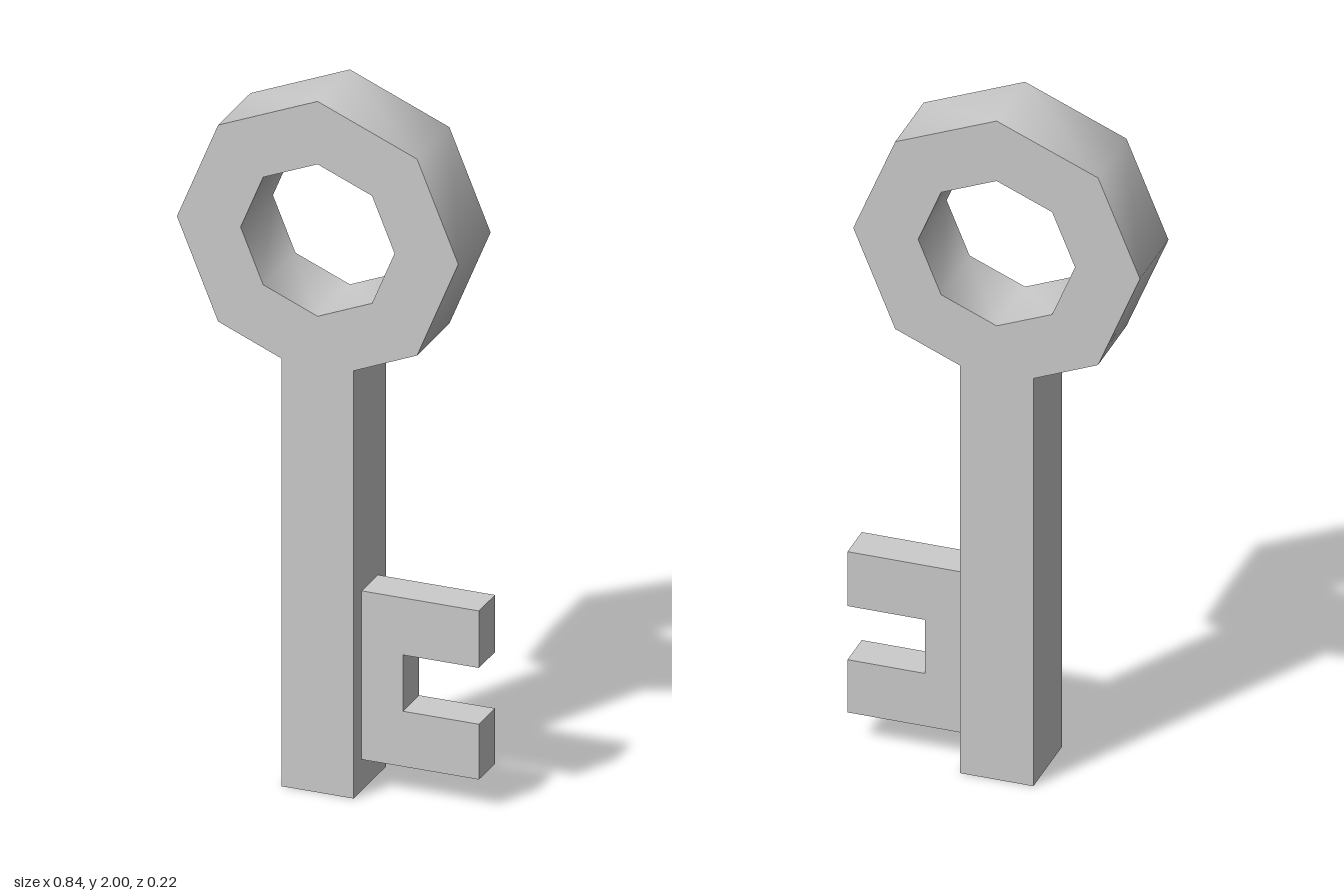
import * as THREE from 'three';
import { toCreasedNormals } from 'three/addons/utils/BufferGeometryUtils.js';

const AXIS = -0.018, RING_Y = 1.598, OUTER = 0.402, INNER = 0.22;
const SHANK_HALF = 0.103, SHANK_TOP = 1.238;

// Corners of an octagon, starting beside its lowest corner and ending on it
function octagon(radius) {
  return Array.from({ length: 8 }, (_, i) => {
    const a = -Math.PI / 2 + (i + 1) * Math.PI / 4;
    return new THREE.Vector2(AXIS + radius * Math.cos(a), RING_Y + radius * Math.sin(a));
  });
}

// Plate of the given thickness, centred on z = 0, with the ring walls kept smooth
function plate(name, shape, depth) {
  const geometry = new THREE.ExtrudeGeometry(shape, { depth, bevelEnabled: false });
  geometry.translate(0, 0, -depth / 2);
  const mesh = new THREE.Mesh(
    toCreasedNormals(geometry, Math.PI / 3),
    new THREE.MeshStandardMaterial({ color: 0xcccccc })
  );
  mesh.name = name;
  return mesh;
}

export function createModel() {
  const key = new THREE.Group();
  key.name = 'key';

  // Octagonal bow and shank in one outline; the shank replaces the lowest corner
  const left = AXIS - SHANK_HALF, right = AXIS + SHANK_HALF;
  const body = new THREE.Shape([
    ...octagon(OUTER).slice(0, 7),
    new THREE.Vector2(left, SHANK_TOP),
    new THREE.Vector2(left, 0),
    new THREE.Vector2(right, 0),
    new THREE.Vector2(right, SHANK_TOP),
  ]);
  body.holes.push(new THREE.Path(octagon(INNER)));
  key.add(plate('bowAndShank', body, 0.222));

  // Thinner bit with two teeth
  const bit = new THREE.Shape([
    [right, 0.09], [0.42, 0.09], [0.42, 0.25], [0.203, 0.25],
    [0.203, 0.413], [0.42, 0.413], [0.42, 0.578], [right, 0.578],
  ].map(([x, y]) => new THREE.Vector2(x, y)));
  key.add(plate('bit', bit, 0.111));

  return key;
}
